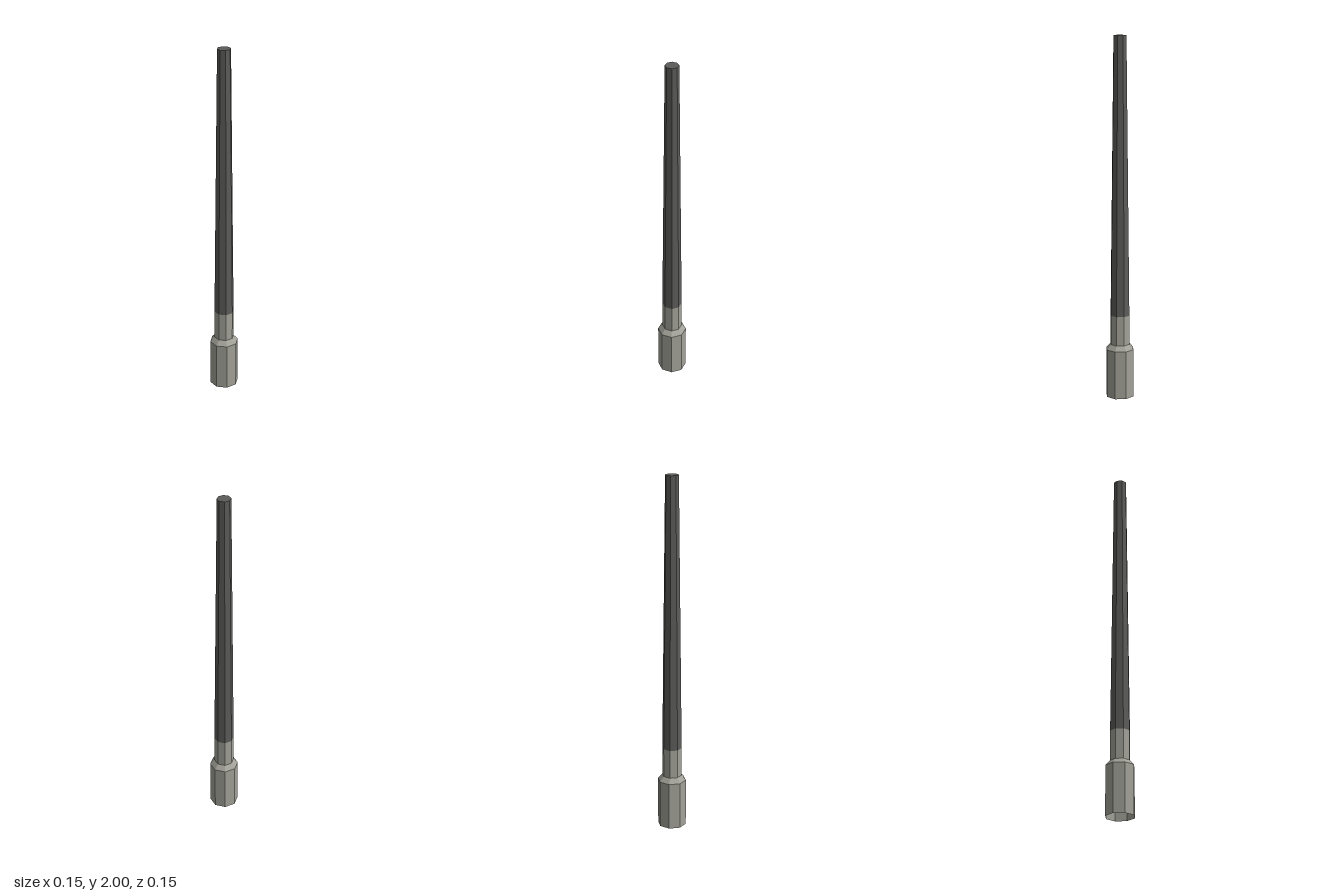
import * as THREE from 'three';

export function createModel() {
  const group = new THREE.Group();
  const paleMetal = new THREE.MeshStandardMaterial({ color: 0xa2a299, flatShading: true, side: THREE.DoubleSide });
  const darkMetal = new THREE.MeshStandardMaterial({ color: 0x5c5c5a, flatShading: true, side: THREE.DoubleSide });
  paleMetal.name = 'paleMetal';
  darkMetal.name = 'darkMetal';

  // Octagonal section with flats facing the axes; radii are measured to the flats
  const toCorner = 1 / Math.cos(Math.PI / 8);
  function octagon(name, bottom, top, y0, y1, material) {
    const geometry = new THREE.CylinderGeometry(
      top * toCorner, bottom * toCorner, y1 - y0, 8, 1, true, Math.PI / 8);
    const mesh = new THREE.Mesh(geometry, material);
    mesh.position.y = (y0 + y1) / 2;
    mesh.name = name;
    group.add(mesh);
  }

  octagon('base', 0.074, 0.074, 0, 0.272, paleMetal);
  octagon('baseBevel', 0.074, 0.051, 0.272, 0.3, paleMetal);
  octagon('collar', 0.051, 0.051, 0.3, 0.465, paleMetal);
  octagon('shaft', 0.051, 0.034, 0.465, 2, darkMetal);

  // Flat end closing the shaft
  const cap = new THREE.Mesh(new THREE.CircleGeometry(0.034 * toCorner, 8, Math.PI / 8), darkMetal);
  cap.rotation.x = -Math.PI / 2;
  cap.position.y = 2;
  cap.name = 'shaftTip';
  group.add(cap);

  return group;
}
